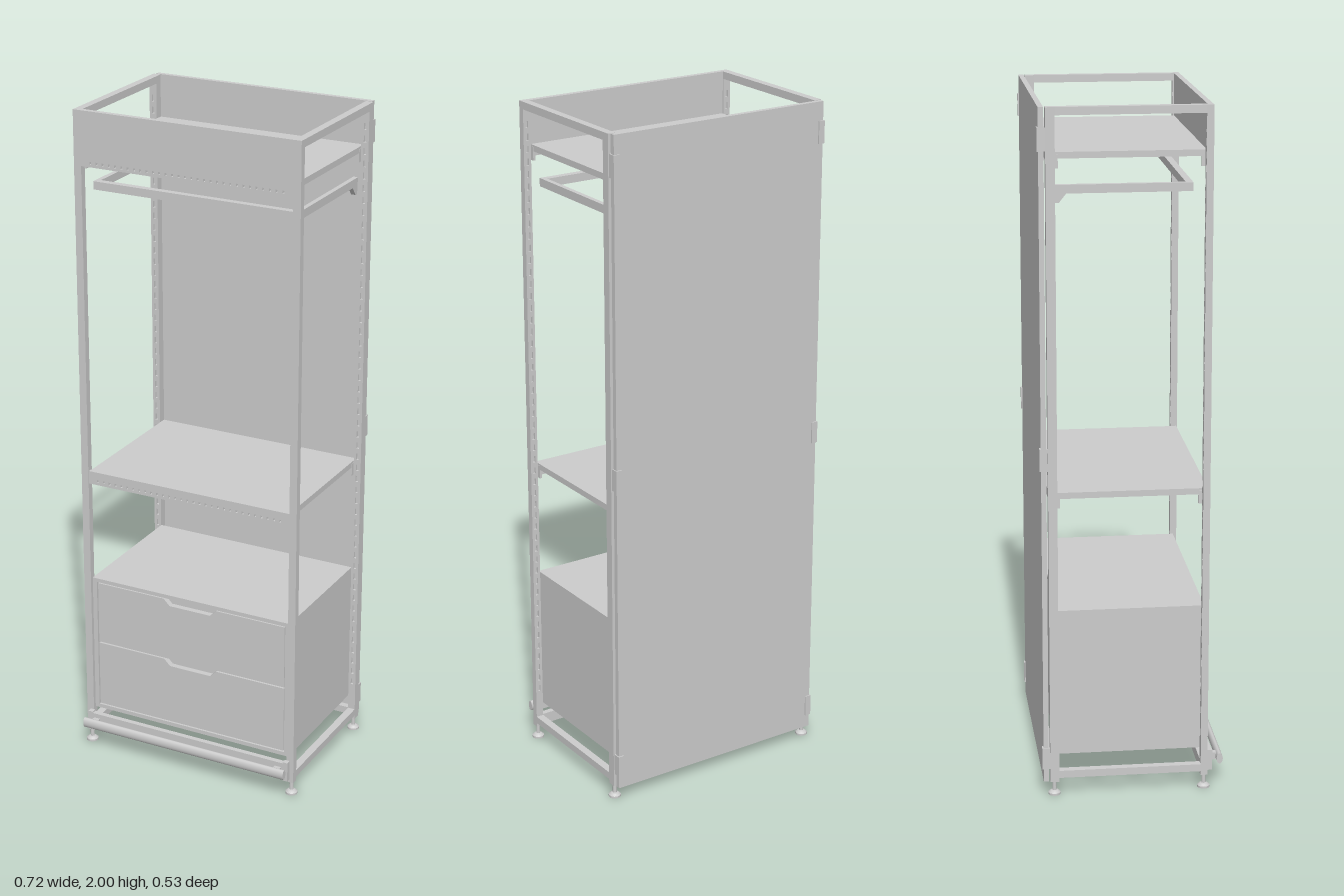
import * as THREE from 'three';

const mat = new THREE.MeshStandardMaterial({ color: 0xcccccc, flatShading: true });
const smooth = new THREE.MeshStandardMaterial({ color: 0xcccccc });

export function createModel() {
  const root = new THREE.Group();

  const add = (name, geo, m = mat) => {
    const mesh = new THREE.Mesh(geo, m);
    mesh.name = name;
    root.add(mesh);
    return mesh;
  };
  // box from its min and max on every axis
  const box = (name, x0, x1, y0, y1, z0, z1) => add(name, new THREE.BoxGeometry(x1 - x0, y1 - y0, z1 - z0)
    .translate((x0 + x1) / 2, (y0 + y1) / 2, (z0 + z1) / 2));
  const sideBox = (name, s, x0, x1, ...r) => (s > 0 ? box(name, x0, x1, ...r) : box(name, -x1, -x0, ...r));
  const rect = (T, x0, x1, y0, y1) => new T([[x0, y0], [x1, y0], [x1, y1], [x0, y1]].map((p) => new THREE.Vector2(...p)));
  // plate in the xy plane with rectangular holes
  const plate = (name, x0, x1, y0, y1, z0, z1, holes) => {
    const shape = rect(THREE.Shape, x0, x1, y0, y1);
    shape.holes = holes.map((h) => rect(THREE.Path, ...h));
    return add(name, new THREE.ExtrudeGeometry(shape, { depth: z1 - z0, bevelEnabled: false }).translate(0, 0, z0));
  };

  const IN = 0.33, OUT = 0.353; // inner and outer faces of the posts
  const slots = (x, y0, y1, pitch) => {
    const list = [];
    for (let y = y0; y < y1; y += pitch) list.push([x - 0.004, x + 0.004, y, y + pitch * 0.55]);
    return list;
  };

  for (const s of [-1, 1]) {
    // uprights: solid outer half, slotted strip facing the interior
    const cx = s * (IN + OUT) / 2;
    const x0 = cx - (OUT - IN) / 2, x1 = cx + (OUT - IN) / 2;
    const holes = slots(cx, 0.16, 1.94, 0.036);
    box('frontPost', x0, x1, 0.04, 2, 0.203, 0.216);
    plate('frontPostSlots', x0, x1, 0.04, 2, 0.196, 0.203, holes);
    box('backPost', x0, x1, 0.04, 2, -0.244, -0.226);
    plate('backPostSlots', x0, x1, 0.04, 2, -0.226, -0.218, holes);

    // side rails
    sideBox('topSideRail', s, IN, OUT, 1.978, 2, -0.218, 0.196);
    sideBox('bottomSideRail', s, IN, OUT, 0.052, 0.074, -0.218, 0.196);

    // levelling feet
    for (const z of [0.206, -0.232]) {
      const foot = [[0, 0], [0.018, 0], [0.018, 0.006], [0.012, 0.011], [0.006, 0.013], [0.006, 0.042], [0, 0.042]];
      add('foot', new THREE.LatheGeometry(foot.map((p) => new THREE.Vector2(...p)), 20)
        .translate(s * 0.343, 0, z));
    }

    // clips holding the back panel
    for (const y of [0.08, 0.98, 1.88]) {
      sideBox('panelClip', s, 0.331, 0.346, y, y + 0.065, -0.267, -0.262);
      sideBox('panelClipSide', s, 0.345, 0.35, y, y + 0.065, -0.267, -0.242);
    }

    // hanging rail arms with wall brackets
    sideBox('hangerArm', s, 0.308, 0.322, 1.76, 1.784, -0.218, 0.165);
    const bracket = new THREE.Shape([[0.216, 1.735], [0.205, 1.735], [0.185, 1.76], [0.216, 1.76]]
      .map((p) => new THREE.Vector2(...p)));
    add('hangerBracket', new THREE.ExtrudeGeometry(bracket, { depth: 0.014, bevelEnabled: false })
      .rotateY(Math.PI / 2).translate(s * 0.315 - 0.007, 0, 0));

    // bumper mounts
    sideBox('bumperMount', s, 0.325, 0.341, 0.05, 0.112, 0.216, 0.232);
    sideBox('bumperArm', s, 0.3, 0.32, 0.074, 0.094, 0.232, 0.248);
  }
  box('hangerBar', -0.308, 0.308, 1.76, 1.784, 0.145, 0.165);

  // back panel and base rails
  box('backPanel', -0.347, 0.347, 0.04, 2, -0.263, -0.248);
  box('frontBaseRail', -IN, IN, 0.042, 0.076, 0.198, 0.215);
  box('backBaseRail', -IN, IN, 0.052, 0.074, -0.24, -0.22);

  // front fascia with a row of perforations along its lower edge
  const perforations = (y) => Array.from({ length: 31 }, (_, i) => {
    const x = (i - 15) * 0.02;
    return [x - 0.003, x + 0.003, y, y + 0.008];
  });
  plate('fascia', -IN, IN, 1.84, 2, 0.2, 0.216, perforations(1.848));

  // shelves: thin tray, folded down on all edges
  const shelf = (name, top, perforated) => {
    box(name, -0.328, 0.328, top - 0.006, top, -0.24, 0.2);
    for (const s of [-1, 1]) {
      sideBox(name + 'SideLip', s, 0.318, 0.328, top - 0.018, top - 0.006, -0.24, 0.2);
      sideBox(name + 'FrontBracket', s, 0.322, 0.329, top - 0.045, top - 0.006, 0.186, 0.2);
      sideBox(name + 'BackBracket', s, 0.322, 0.329, top - 0.045, top - 0.006, -0.222, -0.208);
    }
    box(name + 'BackLip', -0.318, 0.318, top - 0.025, top - 0.006, -0.24, -0.232);
    if (perforated) plate(name + 'FrontLip', -IN, IN, top - 0.04, top, 0.2, 0.213, perforations(top - 0.032));
  };
  shelf('topShelf', 1.875, false);
  shelf('middleShelf', 0.91, true);

  // drawer cabinet
  box('cabinetTop', -IN, IN, 0.546, 0.558, -0.22, 0.205);
  box('cabinetBottom', -IN, IN, 0.118, 0.13, -0.22, 0.205);
  box('cabinetBack', -0.318, 0.318, 0.13, 0.546, -0.22, -0.21);
  for (const s of [-1, 1]) sideBox('cabinetSide', s, 0.316, IN, 0.13, 0.546, -0.22, 0.205);
  box('cabinetInterior', -0.316, 0.316, 0.13, 0.546, 0.17, 0.18);

  // drawer fronts with a trapezoid finger notch
  for (const [y0, y1] of [[0.133, 0.341], [0.345, 0.542]]) {
    const front = new THREE.Shape([
      [-0.313, y0], [0.313, y0], [0.313, y1], [0.088, y1], [0.068, y1 - 0.02],
      [-0.068, y1 - 0.02], [-0.088, y1], [-0.313, y1],
    ].map((p) => new THREE.Vector2(...p)));
    add('drawerFront', new THREE.ExtrudeGeometry(front, { depth: 0.018, bevelEnabled: false }).translate(0, 0, 0.185));
  }

  // kick strip and rounded bumper along the base
  box('kickStrip', -0.325, 0.325, 0.052, 0.072, 0.216, 0.222);
  box('bumperChannel', -0.34, 0.34, 0.084, 0.108, 0.216, 0.232);
  add('bumper', new THREE.CylinderGeometry(0.016, 0.016, 0.682, 20).rotateZ(Math.PI / 2)
    .scale(1, 1, 0.58).translate(0, 0.084, 0.254), smooth);

  return root;
}
